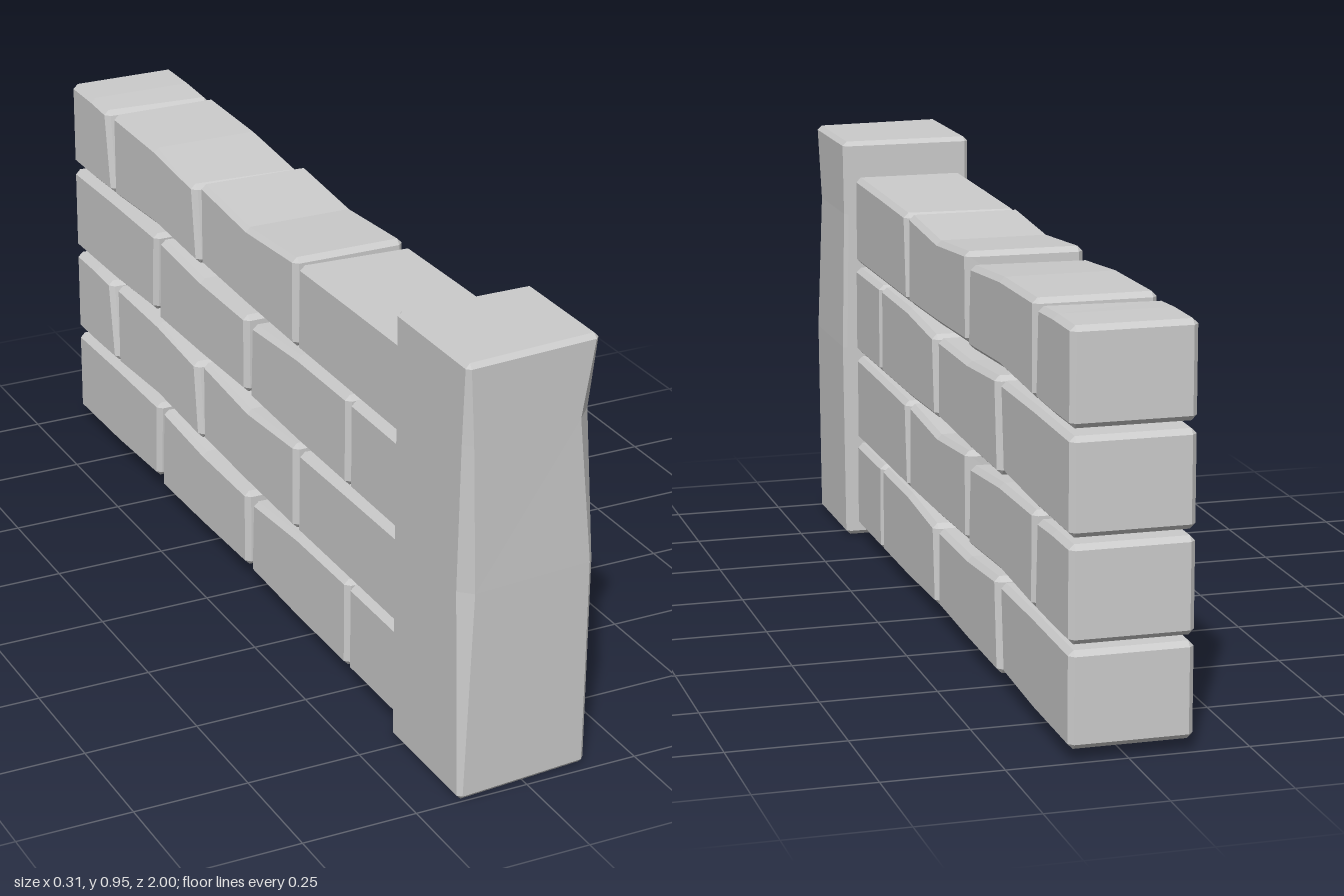
import * as THREE from 'three';

const material = new THREE.MeshStandardMaterial({ color: 0xcccccc, flatShading: true });
const V = (x, y, z) => new THREE.Vector3(x, y, z);

// Move from a towards b by distance d
const toward = (a, b, d) => a.clone().add(b.clone().sub(a).setLength(d));

// Four corners -> eight points, each corner cut by its own chamfer
function chamferRing(corners, cuts) {
  return corners.flatMap((p, i) => [
    toward(p, corners[(i + 3) % 4], cuts[i]),
    toward(p, corners[(i + 1) % 4], cuts[i]),
  ]);
}

// Four corners pulled inwards, each doubled so it joins the chamfered ring
function capRing(corners, bevel) {
  return corners.flatMap((p, i) => {
    const a = toward(p, corners[(i + 3) % 4], bevel).sub(p);
    const b = toward(p, corners[(i + 1) % 4], bevel).sub(p);
    const q = p.clone().add(a).add(b);
    return [q, q];
  });
}

// Bevelled stone lofted through four-cornered sections along an axis.
// Each section is { corners, cuts }, corners counter-clockwise seen from the axis tip.
function stone(name, sections, axis, bevel) {
  const last = sections.length - 1;
  const rings = sections.map(({ corners, cuts }, i) => {
    const shift = i === 0 ? bevel : i === last ? -bevel : 0;
    return chamferRing(corners.map((p) => p.clone().addScaledVector(axis, shift)), cuts);
  });
  rings.unshift(capRing(sections[0].corners, bevel));
  rings.push(capRing(sections[last].corners, bevel));

  const positions = [];
  const tri = (...points) => {
    const [a, b, c] = points;
    const area = b.clone().sub(a).cross(c.clone().sub(a)).length();
    if (area > 1e-9) points.forEach((p) => positions.push(p.x, p.y, p.z));
  };
  for (let i = 0; i < rings.length - 1; i++) {
    for (let k = 0; k < 8; k++) {
      const n = (k + 1) % 8;
      tri(rings[i][k], rings[i][n], rings[i + 1][n]);
      tri(rings[i][k], rings[i + 1][n], rings[i + 1][k]);
    }
  }
  const s = rings[0], e = rings[rings.length - 1];
  tri(s[0], s[4], s[2]);
  tri(s[0], s[6], s[4]);
  tri(e[0], e[2], e[4]);
  tri(e[0], e[4], e[6]);

  const geometry = new THREE.BufferGeometry();
  geometry.setAttribute('position', new THREE.Float32BufferAttribute(positions, 3));
  geometry.computeVertexNormals();
  const mesh = new THREE.Mesh(geometry, material);
  mesh.name = name;
  return mesh;
}

// Brick along z. top and bottom are wear at [back, middle, front];
// backDent and frontDent shorten the ends at [lower -x, lower +x, upper +x, upper -x].
const NONE = [0, 0, 0, 0];
function brick({ z, top = [0, 0, 0], bottom = [0, 0, 0], backDent = NONE, frontDent = NONE }, y, height) {
  const [z0, z1] = z;
  const x0 = -0.134, x1 = 0.122;
  const sections = [0, 1, 2].map((i) => {
    const yb = y + bottom[i], yt = y + height - top[i];
    const zs = NONE.map((_, k) =>
      i === 0 ? z0 + backDent[k] : i === 2 ? z1 - frontDent[k] : (z0 + z1) / 2);
    return {
      corners: [V(x0, yb, zs[0]), V(x1, yb, zs[1]), V(x1, yt, zs[2]), V(x0, yt, zs[3])],
      cuts: [0.011, 0.011, 0.011, 0.011],
    };
  });
  return stone('brick', sections, V(0, 0, 1), 0.011);
}

// Course starting with a half brick beside the pillar
const halfFirst = [
  { z: [0.465, 0.7] },
  { z: [-0.018, 0.457], top: [0.017, 0.002, 0], bottom: [0.006, 0, 0], backDent: [0, 0, 0.018, 0.01] },
  { z: [-0.508, -0.036], top: [0, 0.014, 0.014], bottom: [0, 0.002, 0.008], backDent: [0, 0, 0.02, 0.012] },
  { z: [-1, -0.518], top: [0.004, 0, 0], bottom: [0, 0.002, 0.012], frontDent: [0.012, 0.02, 0, 0] },
];

// Course ending with a half brick at the free end
const halfLast = [
  { z: [0.219, 0.695], top: [0.007, 0.003, 0], backDent: [0, 0, 0.019, 0.006] },
  { z: [-0.268, 0.209], top: [0, 0.018, 0.003], bottom: [0.01, 0.003, 0], backDent: [0, 0, 0.006, 0] },
  { z: [-0.754, -0.277], top: [0, 0.003, 0.02], bottom: [0.003, 0.014, 0.004], frontDent: [0.006, 0, 0.012, 0.028] },
  { z: [-1, -0.763], top: [0.004, 0.004, 0.008], bottom: [0, 0, 0.003], frontDent: [0, 0, 0.012, 0.03] },
];

function createPillar() {
  // Height, +x side, then chamfers of front -x, front +x, back +x and back -x edges
  const levels = [
    [0, 0.147, 0.009, 0.009],
    [0.46, 0.151, 0.028, 0.01],
    [0.78, 0.145, 0.018, 0.037],
    [0.951, 0.147, 0.009, 0.009],
  ];
  const sections = levels.map(([y, x1, leftCut, rightCut]) => ({
    corners: [V(-0.155, y, 1), V(x1, y, 0.976), V(x1, y, 0.705), V(-0.155, y, 0.705)],
    cuts: [leftCut, rightCut, 0.009, 0.009],
  }));
  return stone('endPillar', sections, V(0, 1, 0), 0.01);
}

export function createModel() {
  const model = new THREE.Group();
  model.name = 'brickWall';
  model.add(createPillar());

  // Four courses, alternating the position of the half brick
  [0.026, 0.238, 0.451, 0.666].forEach((y, row) => {
    const course = new THREE.Group();
    course.name = `course${row + 1}`;
    (row % 2 ? halfLast : halfFirst).forEach((spec) => course.add(brick(spec, y, 0.204)));
    model.add(course);
  });
  return model;
}
